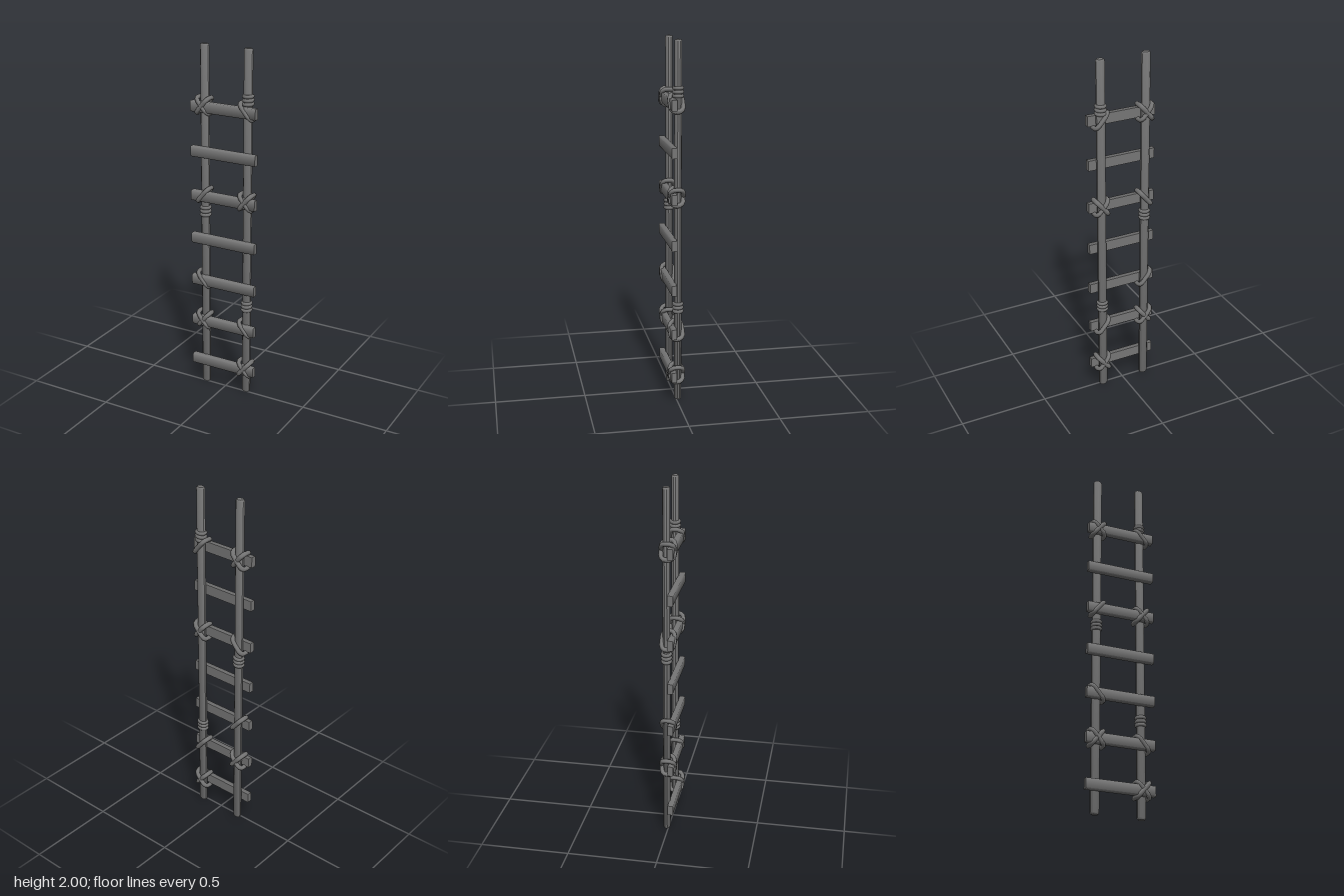
import * as THREE from 'three';
import { toCreasedNormals } from 'three/addons/utils/BufferGeometryUtils.js';

const LEFT = 0.13, RIGHT = -0.132, RAIL_Z = -0.01;
const RUNG_START = 0.149, RUNG_STEP = 0.2525, RUNG_COUNT = 7;
const rungY = (i) => RUNG_START + i * RUNG_STEP;

export function createModel() {
  const model = new THREE.Group();
  const material = new THREE.MeshStandardMaterial({ color: 0x767676 });

  const add = (parent, name, geometry, x, y, z) => {
    const mesh = new THREE.Mesh(geometry, material);
    mesh.name = name;
    mesh.position.set(x, y, z);
    parent.add(mesh);
    return mesh;
  };

  // Upright poles: slightly oval, with chamfered ends
  const profile = [[0, 0], [0.02, 0], [0.0255, 0.008], [0.0255, 1.992], [0.02, 2], [0, 2]]
    .map(([r, y]) => new THREE.Vector2(r, y));
  const railGeometry = toCreasedNormals(
    new THREE.LatheGeometry(profile, 10).scale(1, 1, 0.8), 0.7);
  add(model, 'leftRail', railGeometry, LEFT, 0, RAIL_Z);
  add(model, 'rightRail', railGeometry, RIGHT, 0, RAIL_Z);

  // Flat rungs: near-rectangular cross-section, extruded along x
  const section = new THREE.Shape([
    [-0.015, -0.029], [0.012, -0.029], [0.015, -0.025],
    [0.015, 0.025], [0.012, 0.029], [-0.015, 0.029],
  ].map(([z, y]) => new THREE.Vector2(-z, y)).reverse());
  const rungGeometry = toCreasedNormals(
    new THREE.ExtrudeGeometry(section, { depth: 0.394, bevelEnabled: false })
      .translate(0, 0, -0.197).rotateY(Math.PI / 2), 1);
  for (let i = 0; i < RUNG_COUNT; i++) {
    add(model, 'rung' + (i + 1), rungGeometry, -0.001, rungY(i), 0.021);
  }

  // Rope loop around rail and rung, lying in the x-z plane before it is tilted
  const loopGeometry = (grow) => {
    const points = [
      [0.054, 0.018], [0.034, 0.0335], [-0.034, 0.0335], [-0.054, 0.018],
      [-0.054, -0.018], [-0.034, -0.0335], [0.034, -0.0335], [0.054, -0.018],
    ].map(([u, z]) => new THREE.Vector3(u + Math.sign(u) * grow, 0, z + Math.sign(z) * grow));
    const curve = new THREE.CatmullRomCurve3(points, true, 'catmullrom', 0.25);
    return new THREE.TubeGeometry(curve, 20, 0.0135, 6, true);
  };
  const innerLoop = loopGeometry(-0.001), outerLoop = loopGeometry(0.001);

  // Lashings: [rail x, rung index, tilt signs]; two signs make a cross
  const lashings = [
    [RIGHT, 6, [-1, 1]], [RIGHT, 4, [1]], [RIGHT, 2, [-1]], [RIGHT, 1, [1, -1]],
    [LEFT, 6, [-1]], [LEFT, 4, [-1, 1]], [LEFT, 1, [-1]], [LEFT, 0, [-1, 1]],
  ];
  for (const [x, index, tilts] of lashings) {
    const lashing = new THREE.Group();
    lashing.name = 'lashing';
    lashing.position.set(x, rungY(index) + 0.005, -0.001);
    tilts.forEach((tilt, k) => {
      const loop = add(lashing, 'ropeLoop', k ? outerLoop : innerLoop, 0, 0, 0);
      loop.rotation.z = tilt * 0.87;
    });
    model.add(lashing);
  }

  // Rope coils: three stacked rings around a rail
  const ringGeometry = new THREE.TorusGeometry(0.0245, 0.0105, 6, 12)
    .rotateX(Math.PI / 2).scale(1, 1, 0.92);
  for (const [x, y] of [[LEFT, 1.727], [RIGHT, 1.065], [LEFT, 0.54]]) {
    const coil = new THREE.Group();
    coil.name = 'ropeCoil';
    coil.position.set(x, y, RAIL_Z);
    for (let k = -1; k <= 1; k++) {
      add(coil, 'coilRing', ringGeometry, 0, k * 0.021, 0).rotation.z = 0.06;
    }
    model.add(coil);
  }

  return model;
}
